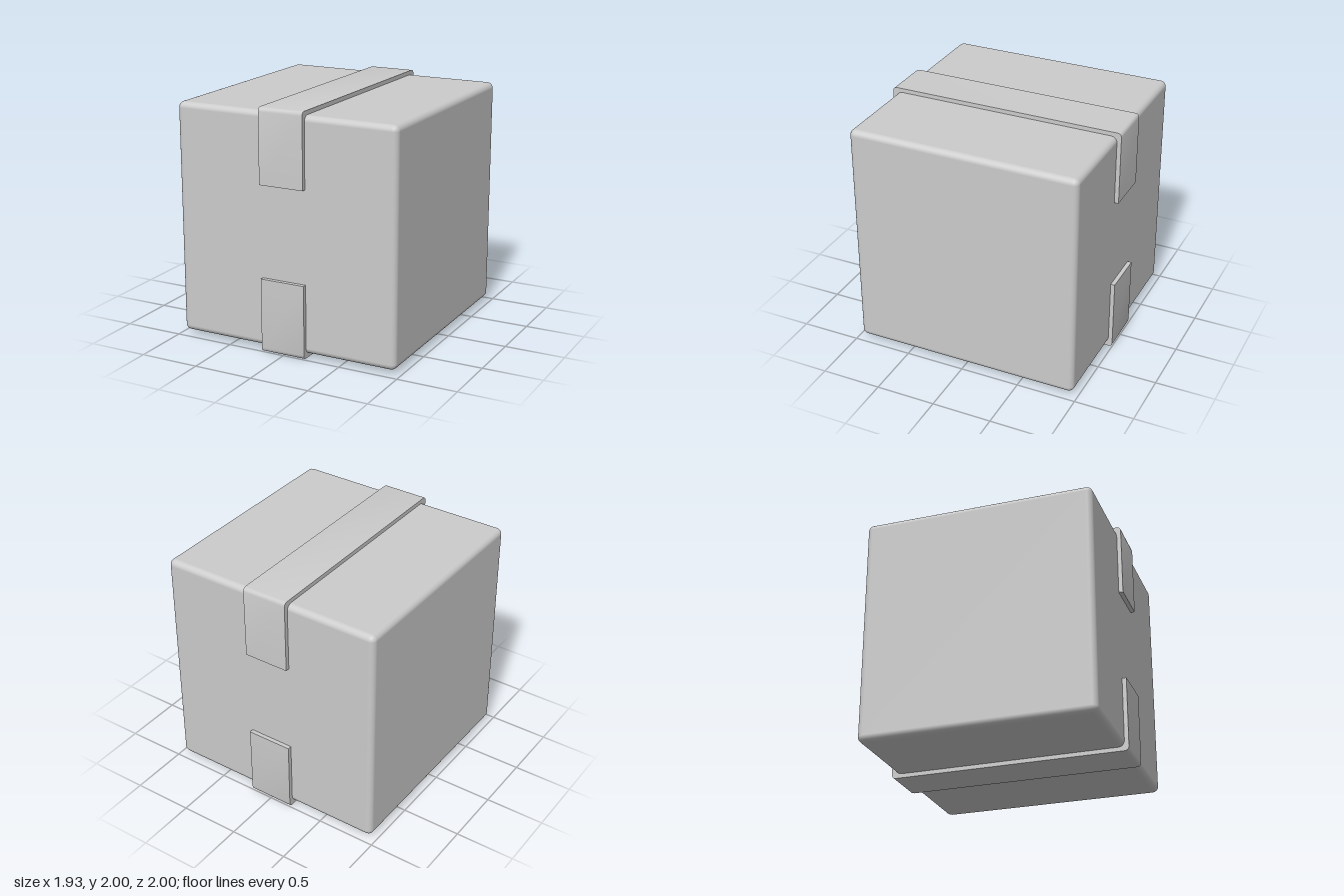
import * as THREE from 'three';
import { RoundedBoxGeometry } from 'three/addons/geometries/RoundedBoxGeometry.js';
import { toCreasedNormals } from 'three/addons/utils/BufferGeometryUtils.js';

const BOX = 1.93;          // side of the box
const TAPE_WIDTH = 0.386;
const OUT = 1;             // outer reach of the tape
const INNER = 0.945;       // inner face, sunk into the box
const END = 0.385;         // height of the tape ends above the box centre
const R = 0.035;           // rounding of the tape corners

// U-shaped strip: over one face and down two sides, relative to the box centre
function tapeGeometry() {
  const s = new THREE.Shape();
  s.moveTo(OUT, END);
  s.lineTo(OUT, OUT - R);
  s.quadraticCurveTo(OUT, OUT, OUT - R, OUT);
  s.lineTo(-OUT + R, OUT);
  s.quadraticCurveTo(-OUT, OUT, -OUT, OUT - R);
  s.lineTo(-OUT, END);
  s.lineTo(-INNER, END);
  s.lineTo(-INNER, INNER);
  s.lineTo(INNER, INNER);
  s.lineTo(INNER, END);
  s.closePath();
  const geo = new THREE.ExtrudeGeometry(s, { depth: TAPE_WIDTH, bevelEnabled: false, curveSegments: 3 });
  geo.translate(0, 0, -TAPE_WIDTH / 2);
  geo.rotateY(-Math.PI / 2);
  return toCreasedNormals(geo, 0.9);
}

export function createModel() {
  const model = new THREE.Group();
  model.name = 'tapedBox';
  const material = new THREE.MeshStandardMaterial({ color: 0xcccccc });

  // Box with softly rounded edges
  const box = new THREE.Mesh(new RoundedBoxGeometry(BOX, BOX, BOX, 3, 0.05), material);
  box.name = 'box';
  box.position.y = 1;
  model.add(box);

  // Tape over the top, and the same strip turned over for the bottom
  const geo = tapeGeometry();
  for (const [name, turn] of [['topTape', 0], ['bottomTape', Math.PI]]) {
    const tape = new THREE.Mesh(geo, material);
    tape.name = name;
    tape.position.set(-0.003, 1, 0);
    tape.rotation.x = turn;
    model.add(tape);
  }
  return model;
}
